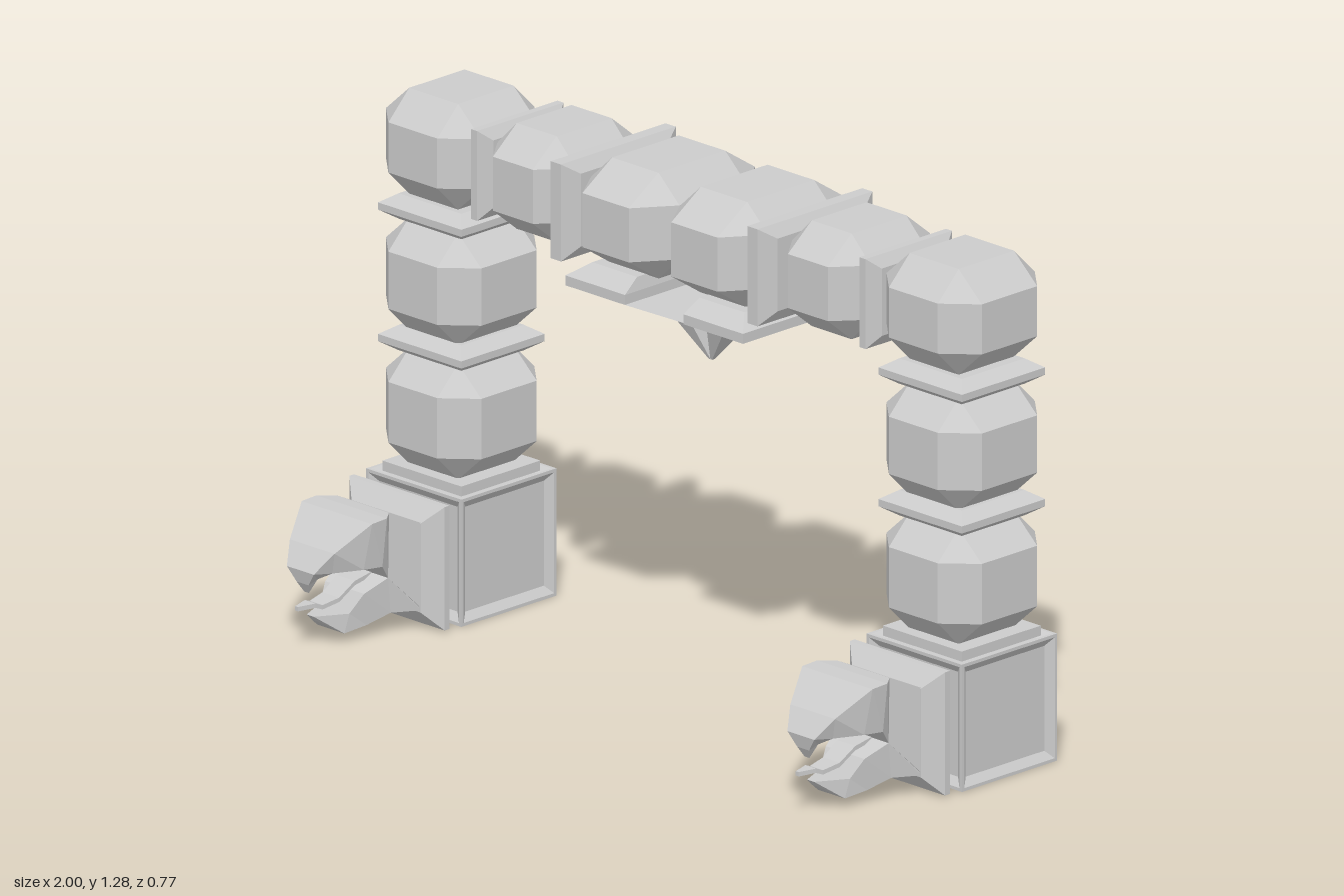
import * as THREE from 'three';
import { ConvexGeometry } from 'three/addons/geometries/ConvexGeometry.js';

const material = new THREE.MeshStandardMaterial({ color: 0xcccccc, flatShading: true });
const Z = -0.168; // depth of the arch's centre line

// Skin rings of points (counter-clockwise about the loft direction) with flat faces
function loft(rings, capStart = true, capEnd = true) {
  const out = [];
  const tri = (a, b, c) => out.push(...a, ...b, ...c);
  const n = rings[0].length;
  for (let k = 0; k + 1 < rings.length; k++) {
    for (let i = 0; i < n; i++) {
      const j = (i + 1) % n, a = rings[k], b = rings[k + 1];
      tri(a[i], a[j], b[j]);
      tri(a[i], b[j], b[i]);
    }
  }
  const first = rings[0], last = rings[rings.length - 1];
  for (let i = 1; i + 1 < n; i++) {
    if (capStart) tri(first[0], first[i + 1], first[i]);
    if (capEnd) tri(last[0], last[i], last[i + 1]);
  }
  const g = new THREE.BufferGeometry();
  g.setAttribute('position', new THREE.Float32BufferAttribute(out, 3));
  g.computeVertexNormals();
  return g;
}

// Horizontal rectangle ring, for lofts going up
const rect = (y, hx, hz, cx = 0) =>
  [[cx + hx, y, hz], [cx + hx, y, -hz], [cx - hx, y, -hz], [cx - hx, y, hz]];

// Upright ring with its own top and bottom edge, for lofts going forward
const upright = ([zt, yt, ht, zb, yb, hb]) =>
  [[-hb, yb, zb], [hb, yb, zb], [ht, yt, zt], [-ht, yt, zt]];

function add(parent, name, geometry, x = 0, y = 0, z = 0) {
  const mesh = new THREE.Mesh(geometry, material);
  mesh.name = name;
  mesh.position.set(x, y, z);
  parent.add(mesh);
  return mesh;
}

// Box with all edges and corners chamfered
function chamferedBlock(hx, hy, hz, cx, cy, cz) {
  const pts = [];
  for (const x of [-1, 1]) for (const y of [-1, 1]) for (const z of [-1, 1]) {
    pts.push(
      new THREE.Vector3(x * hx, y * (hy - cy), z * (hz - cz)),
      new THREE.Vector3(x * (hx - cx), y * hy, z * (hz - cz)),
      new THREE.Vector3(x * (hx - cx), y * (hy - cy), z * hz));
  }
  return new ConvexGeometry(pts);
}

// Flat square collar that thins toward its rim
const collar = (hx, hz, rim, half, s = 0.75) => loft([
  rect(-half, hx * s, hz * s), rect(-rim, hx, hz),
  rect(rim, hx, hz), rect(half, hx * s, hz * s)]);

// Cube with a recessed panel in every face
function panelledCube() {
  const cube = new THREE.Group();
  cube.name = 'baseCube';
  const h = 0.16;
  const face = loft([rect(h, h, h), rect(h, 0.152, 0.152), rect(0.145, 0.132, 0.132)], false);
  for (let i = 0; i < 4; i++) add(cube, 'basePanel', face).rotation.x = i * Math.PI / 2;
  for (const s of [-1, 1]) add(cube, 'basePanel', face).rotation.z = s * Math.PI / 2;
  return cube;
}

// Open-mouthed beast head facing forward
function beastHead() {
  const head = new THREE.Group();
  head.name = 'beastHead';
  add(head, 'neckCollar', collar(0.16, 0.155, 0.008, 0.045, 0.72), 0, 0.163, 0.04).rotation.x = Math.PI / 2;
  add(head, 'upperHead', loft([
    [0.08, 0.275, 0.115, 0.08, 0.06, 0.115],
    [0.163, 0.315, 0.088, 0.163, 0.15, 0.085],
    [0.2, 0.317, 0.118, 0.207, 0.195, 0.11],
    [0.25, 0.315, 0.118, 0.26, 0.198, 0.1],
    [0.333, 0.25, 0.075, 0.325, 0.195, 0.06],
    [0.373, 0.2, 0.045, 0.345, 0.178, 0.03],
    [0.365, 0.165, 0.02, 0.352, 0.14, 0.008],
  ].map(upright)));
  add(head, 'lowerJaw', loft([
    [0.08, 0.2, 0.112, 0.08, 0.055, 0.112],
    [0.163, 0.15, 0.085, 0.15, 0.058, 0.08],
    [0.224, 0.12, 0.065, 0.21, 0.037, 0.06],
    [0.258, 0.075, 0.05, 0.27, 0.027, 0.045],
    [0.34, 0.078, 0.012, 0.325, 0.062, 0.01],
  ].map(upright)));
  // Wavy tongue
  const path = [[0.15, 0.15, 0.03], [0.22, 0.138, 0.03], [0.27, 0.108, 0.028], [0.32, 0.1, 0.022], [0.34, 0.108, 0.018], [0.385, 0.107, 0.005]];
  add(head, 'tongue', loft(path.map(([z, y, h]) => upright([z, y + 0.005, h, z, y - 0.006, h]))));
  return head;
}

// Leg: base cube, head, and stacked blocks with collars
function leg(x) {
  const g = new THREE.Group();
  g.name = x > 0 ? 'leftLeg' : 'rightLeg';
  g.position.x = x;
  const base = panelledCube();
  base.position.set(0, 0.163, Z);
  g.add(base, beastHead());
  add(g, 'baseCap', new THREE.BoxGeometry(0.265, 0.025, 0.265), 0, 0.33, Z);
  for (const [y, h] of [[0.484, 0.146], [0.816, 0.142], [1.15, 0.133]]) {
    add(g, 'legBlock', chamferedBlock(0.16, h, 0.163, 0.078, 0.07, 0.07), 0, y, Z);
  }
  for (const y of [0.652, 0.983]) add(g, 'legCollar', collar(0.14, 0.14, 0.009, 0.032), 0, y, Z);
  return g;
}

// Beam: blocks and upright collars on each side of the middle
function beam() {
  const g = new THREE.Group();
  g.name = 'beam';
  for (const s of [-1, 1]) {
    add(g, 'innerBlock', chamferedBlock(0.148, 0.133, 0.212, 0.07, 0.065, 0.1), s * 0.149, 1.15, Z - 0.005);
    add(g, 'outerBlock', chamferedBlock(0.132, 0.133, 0.172, 0.065, 0.065, 0.08), s * 0.495, 1.15, Z);
    add(g, 'innerCollar', collar(0.122, 0.193, 0.017, 0.036), s * 0.33, 1.143, Z).rotation.z = Math.PI / 2;
    add(g, 'outerCollar', collar(0.113, 0.145, 0.01, 0.028), s * 0.652, 1.143, Z).rotation.z = Math.PI / 2;
  }
  return g;
}

// Pendant: two flat plates drawn down to one central point
function pendant() {
  const g = new THREE.Group();
  g.name = 'pendant';
  for (const s of [-1, 1]) {
    add(g, 'pendantHalf', loft([
      rect(0.806, 0.003, 0.004, s * 0.003),
      rect(0.893, 0.026, 0.04, s * 0.05),
      rect(0.965, 0.1, 0.193, s * 0.198),
      rect(0.99, 0.1, 0.193, s * 0.198),
      rect(1.022, 0.075, 0.145, s * 0.18),
    ]), 0, 0, Z);
  }
  return g;
}

export function createModel() {
  const model = new THREE.Group();
  model.name = 'beastArch';
  model.add(leg(0.84), leg(-0.84), beam(), pendant());
  return model;
}
